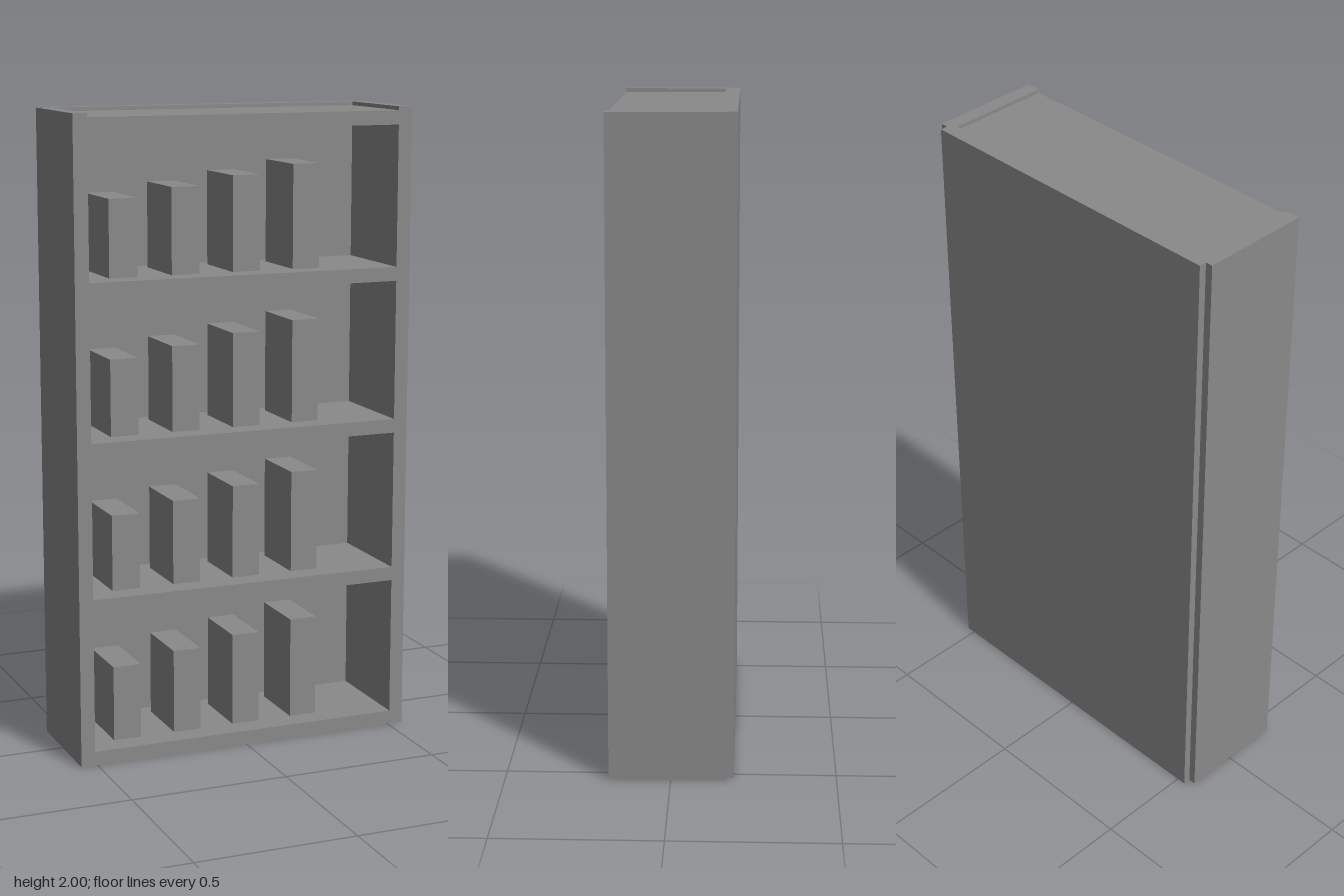
import * as THREE from 'three';

export function createModel() {
  const grey = new THREE.MeshStandardMaterial({ color: 0x8a8a8a });
  grey.name = 'grey';
  const model = new THREE.Group();
  model.name = 'bookcase';

  // Box given by its lower and upper limits on each axis
  function addBox(name, [x0, x1], [y0, y1], [z0, z1], parent = model) {
    const mesh = new THREE.Mesh(new THREE.BoxGeometry(x1 - x0, y1 - y0, z1 - z0), grey);
    mesh.position.set((x0 + x1) / 2, (y0 + y1) / 2, (z0 + z1) / 2);
    mesh.name = name;
    parent.add(mesh);
  }

  const front = 0.188, backInner = -0.143, inner = 0.507;
  const board = 0.044, pitch = 0.486;

  // Upright sides and back panel
  addBox('leftSide', [inner, 0.552], [0, 2], [-0.166, front]);
  addBox('rightSide', [-0.552, -inner], [0, 2], [-0.166, front]);
  addBox('backPanel', [-0.529, 0.529], [0, 2], [-0.19, backInner]);

  // Five boards; the lower four each carry four books rising in height
  for (let row = 0; row < 5; row++) {
    const y = row * pitch;
    addBox(`shelf${row + 1}`, [-inner, inner], [y, y + board], [backInner, front]);
    if (row === 4) continue;
    const books = new THREE.Group();
    books.name = `bookRow${row + 1}`;
    model.add(books);
    for (let i = 0; i < 4; i++) {
      const x = -0.373 + i * 0.201;
      const top = y + board + 0.239 + i * 0.0287;
      addBox(`book${i + 1}`, [x - 0.045, x + 0.045], [y + board, top], [-0.1, 0.112], books);
    }
  }
  return model;
}
